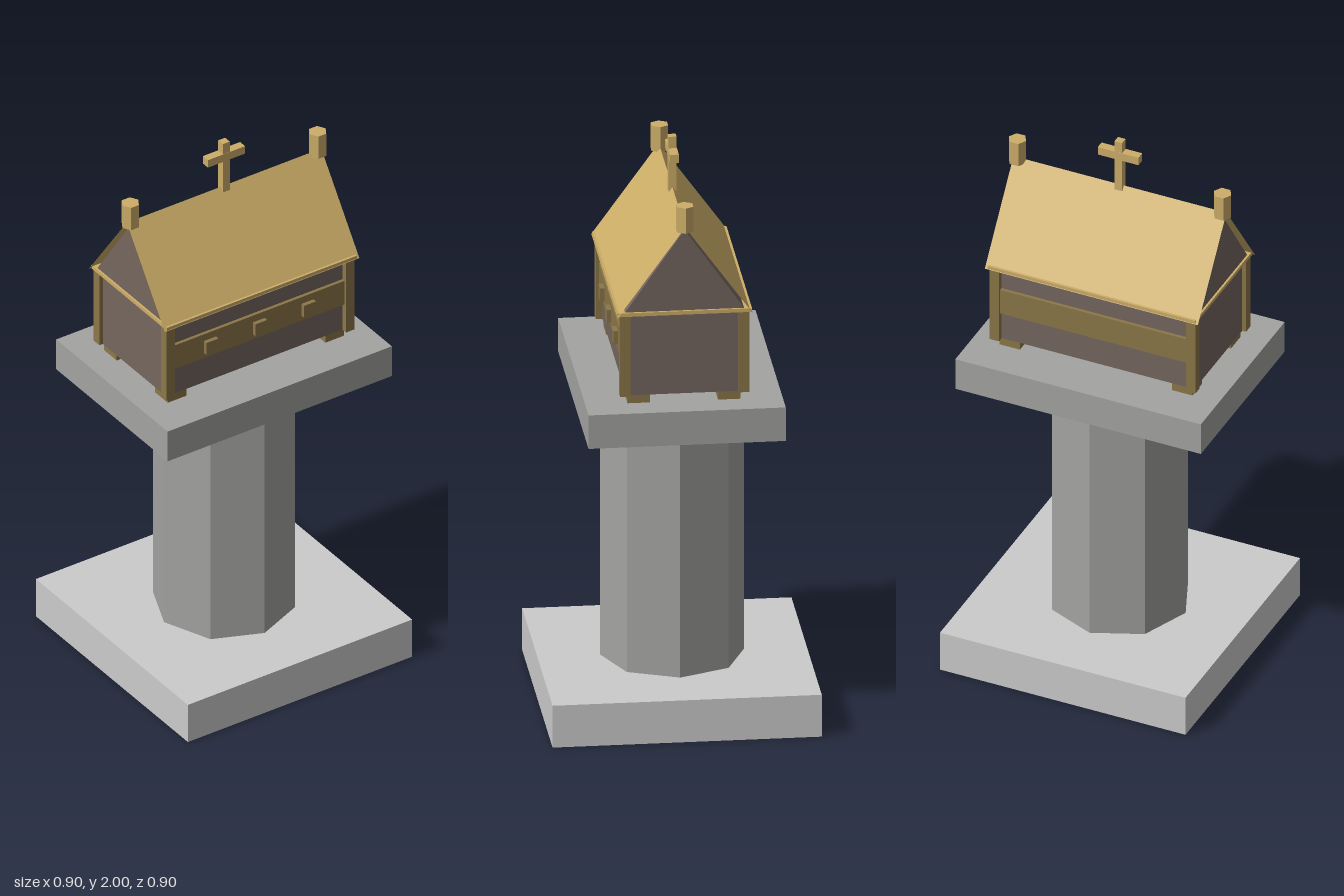
import * as THREE from 'three';

const mat = (color, side = THREE.FrontSide) =>
  new THREE.MeshStandardMaterial({ color, side, flatShading: true });

export function createModel() {
  const model = new THREE.Group();
  const stone = mat(0xcccccc, THREE.DoubleSide);
  const greyStone = mat(0xa3a3a1);
  const wood = mat(0x75675f);
  const bronze = mat(0x8b7748);
  const gold = mat(0xcdae68);
  const roofGold = mat(0xcdae68, THREE.DoubleSide);

  const add = (name, geometry, material, x = 0, y = 0, z = 0) => {
    const mesh = new THREE.Mesh(geometry, material);
    mesh.name = name;
    mesh.position.set(x, y, z);
    model.add(mesh);
    return mesh;
  };
  // Box given by its width, depth, bottom and top
  const box = (name, material, w, d, y0, y1, x = 0, z = 0) =>
    add(name, new THREE.BoxGeometry(w, y1 - y0, d), material, x, (y0 + y1) / 2, z);

  // Hollow plinth, open underneath
  const plinth = box('plinth', stone, 0.905, 0.905, 0, 0.15);
  const index = Array.from(plinth.geometry.index.array);
  index.splice(18, 6); // drop the bottom face
  plinth.geometry.setIndex(index);
  plinth.geometry.clearGroups();

  // Octagonal pillar and the slab on top
  add('pillar', new THREE.CylinderGeometry(0.242, 0.242, 0.915, 8), greyStone, 0, 0.6075, 0);
  box('slab', greyStone, 0.905, 0.663, 1.065, 1.185);

  // Casket body with a band on the front and back
  box('casketBody', wood, 0.73, 0.39, 1.217, 1.508);
  for (const s of [1, -1]) {
    box('band', bronze, 0.7, 0.014, 1.325, 1.42, 0, s * 0.2);
  }
  for (const x of [-0.197, 0, 0.197]) {
    box('stud', bronze, 0.048, 0.018, 1.345, 1.393, x, 0.213);
  }

  // Corner posts and feet
  for (const sx of [1, -1]) {
    for (const sz of [1, -1]) {
      box('cornerPost', bronze, 0.034, 0.034, 1.217, 1.507, sx * 0.362, sz * 0.2);
      box('foot', bronze, 0.075, 0.075, 1.185, 1.217, sx * 0.318, sz * 0.152);
    }
  }

  // Eave plate and gable block
  box('eavePlate', gold, 0.765, 0.452, 1.505, 1.518);
  const gable = new THREE.Shape([
    new THREE.Vector2(-0.2, 1.518),
    new THREE.Vector2(0.2, 1.518),
    new THREE.Vector2(0, 1.806),
  ]);
  const gableGeometry = new THREE.ExtrudeGeometry(gable, { depth: 0.75, bevelEnabled: false });
  gableGeometry.translate(0, 0, -0.375).rotateY(Math.PI / 2);
  add('gable', gableGeometry, wood);

  // Two thin roof slopes meeting at the ridge
  const rise = 0.315, run = 0.227;
  for (const s of [1, -1]) {
    const slope = new THREE.PlaneGeometry(0.785, Math.hypot(rise, run));
    slope.rotateX(-Math.atan2(run, rise));
    if (s < 0) slope.rotateY(Math.PI);
    add('roofSlope', slope, roofGold, 0, 1.505 + rise / 2, (s * run) / 2);
  }

  // Hexagonal finials at the ridge ends
  for (const s of [1, -1]) {
    const finial = new THREE.CylinderGeometry(0.032, 0.032, 0.09, 6).rotateY(Math.PI / 6);
    add('finial', finial, gold, s * 0.378, 1.85, 0);
  }

  // Ridge cross
  box('crossUpright', gold, 0.028, 0.028, 1.805, 2.0);
  box('crossArm', gold, 0.15, 0.03, 1.929, 1.959);

  return model;
}
